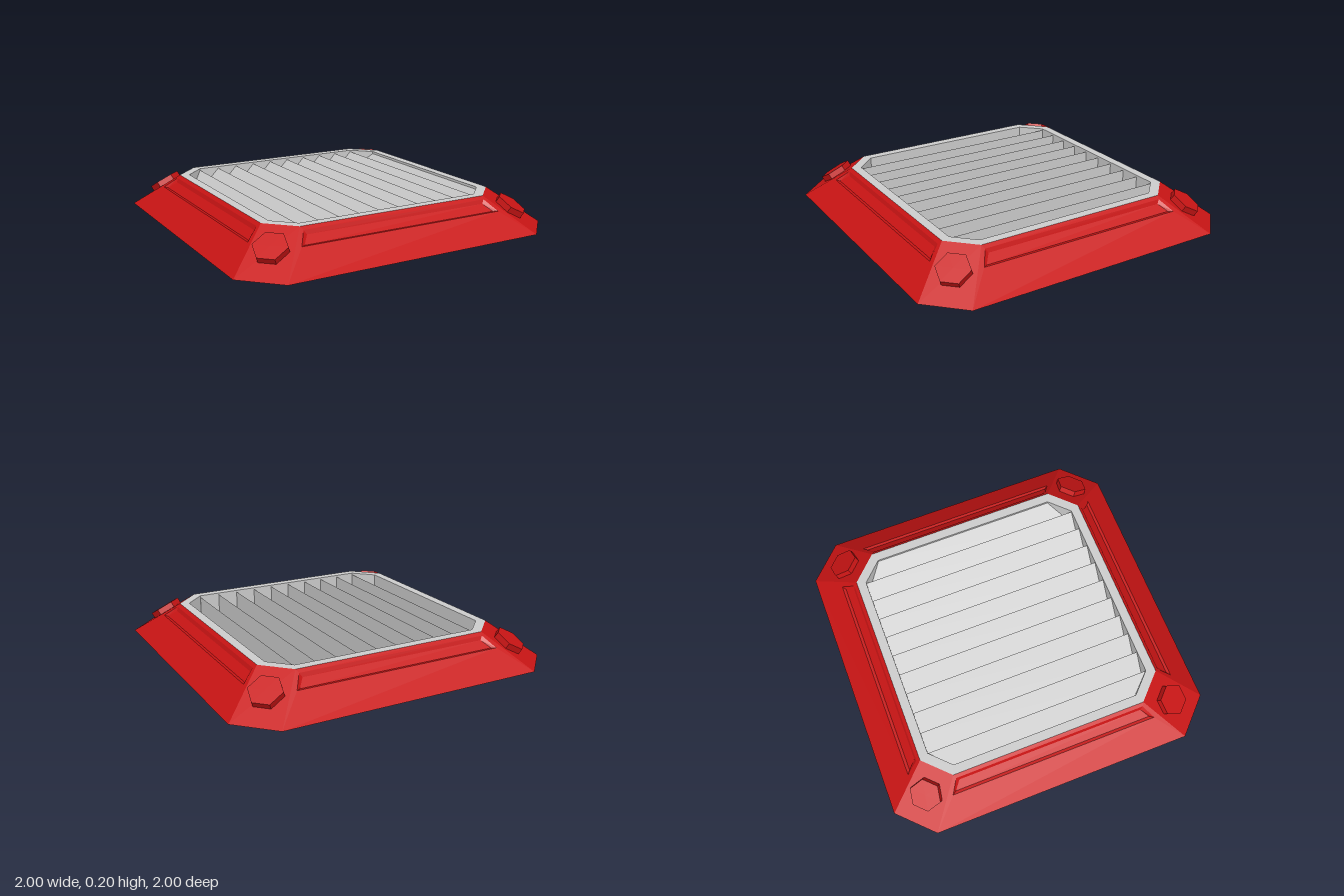
import * as THREE from 'three';

const red = new THREE.MeshStandardMaterial({ color: 0xc81414 });
const grey = new THREE.MeshStandardMaterial({ color: 0xcccccc });
const slatGrey = new THREE.MeshStandardMaterial({ color: 0xcccccc, side: THREE.DoubleSide });

const HEIGHT = 0.2;

// Flat-shaded surface from a list of four-cornered faces
function quadSurface(quads) {
  const pos = [];
  for (const [a, b, c, d] of quads) pos.push(...a, ...b, ...c, ...a, ...c, ...d);
  const geo = new THREE.BufferGeometry();
  geo.setAttribute('position', new THREE.Float32BufferAttribute(pos, 3));
  geo.computeVertexNormals();
  return geo;
}

// Quads joining an outer loop of corners to an inner one
function band(outer, inner) {
  return outer.map((p, i) => {
    const j = (i + 1) % outer.length;
    return [p, outer[j], inner[j], inner[i]];
  });
}

// Square outline with cut corners
function octagon(half, cut, PathType = THREE.Shape) {
  const pts = [[cut, half], [-cut, half], [-half, cut], [-half, -cut],
    [-cut, -half], [cut, -half], [half, -cut], [half, cut]];
  return new PathType(pts.map(([x, y]) => new THREE.Vector2(x, y)));
}

function addMesh(parent, name, geometry, material) {
  const mesh = new THREE.Mesh(geometry, material);
  mesh.name = name;
  parent.add(mesh);
  return mesh;
}

// Trapezoid on the sloping front face, optionally sunk into it
function faceLoop(outLow, halfLow, outHigh, halfHigh, sink = 0) {
  const at = (t, d) => [t, (1 - d) * 0.8 - sink * 0.78, d - sink * 0.62];
  return [at(-halfLow, outLow), at(halfLow, outLow), at(halfHigh, outHigh), at(-halfHigh, outHigh)];
}

export function createModel() {
  const model = new THREE.Group();
  model.name = 'ventPanel';

  // Sloping sides with a shallow groove, cut corners and bolts
  const edge = faceLoop(1, 0.8, 0.75, 0.6);
  const lip = faceLoop(0.845, 0.64, 0.77, 0.59);
  const floor = faceLoop(0.835, 0.615, 0.787, 0.575, 0.012);
  const sideGeo = quadSurface([...band(edge, lip), ...band(lip, floor), floor]);
  const cornerGeo = quadSurface([
    [[0.8, 0, 1], [1, 0, 0.8], [0.75, HEIGHT, 0.6], [0.6, HEIGHT, 0.75]],
  ]);
  const boltGeo = new THREE.CylinderGeometry(0.098, 0.098, 0.07, 6, 1, false, Math.PI / 6).toNonIndexed();
  boltGeo.computeVertexNormals();
  const tilt = Math.atan2(HEIGHT, 0.45 / Math.SQRT2);

  for (let i = 0; i < 4; i++) {
    const quarter = new THREE.Group();
    quarter.name = 'bodyQuarter';
    quarter.rotation.y = i * Math.PI / 2;
    addMesh(quarter, 'slopingSide', sideGeo, red);
    addMesh(quarter, 'cutCorner', cornerGeo, red);
    const bolt = addMesh(quarter, 'hexBolt', boltGeo, red);
    bolt.rotation.set(tilt, Math.PI / 4, 0, 'YXZ');
    bolt.position.set(0.778, 0.11, 0.778);
    model.add(quarter);
  }

  // Underside
  const bottomGeo = new THREE.ShapeGeometry(octagon(1, 0.8));
  bottomGeo.rotateX(Math.PI / 2);
  addMesh(model, 'underside', bottomGeo, red);

  // Rim around the vent
  const rimShape = octagon(0.75, 0.6);
  rimShape.holes.push(octagon(0.695, 0.577, THREE.Path));
  const rimGeo = new THREE.ExtrudeGeometry(rimShape, { depth: 0.15, bevelEnabled: false });
  rimGeo.rotateX(-Math.PI / 2);
  rimGeo.translate(0, HEIGHT - 0.15, 0);
  addMesh(model, 'ventRim', rimGeo, grey);

  // Slanted slats: each rises towards the left, then drops straight down
  const count = 11, pitch = 0.128, low = 0.055, high = 0.19;
  const reach = (x) => Math.min(0.7, 1.28 - Math.abs(x));
  for (let i = 0; i < count; i++) {
    const x0 = Math.max(-0.7, (i - count / 2) * pitch);
    const x1 = Math.min(0.7, (i + 1 - count / 2) * pitch);
    const z0 = reach(x0), z1 = reach(x1);
    addMesh(model, 'ventSlat', quadSurface([
      [[x0, low, z0], [x1, high, z1], [x1, high, -z1], [x0, low, -z0]],
      [[x1, high, z1], [x1, low, z1], [x1, low, -z1], [x1, high, -z1]],
    ]), slatGrey);
  }
  return model;
}
